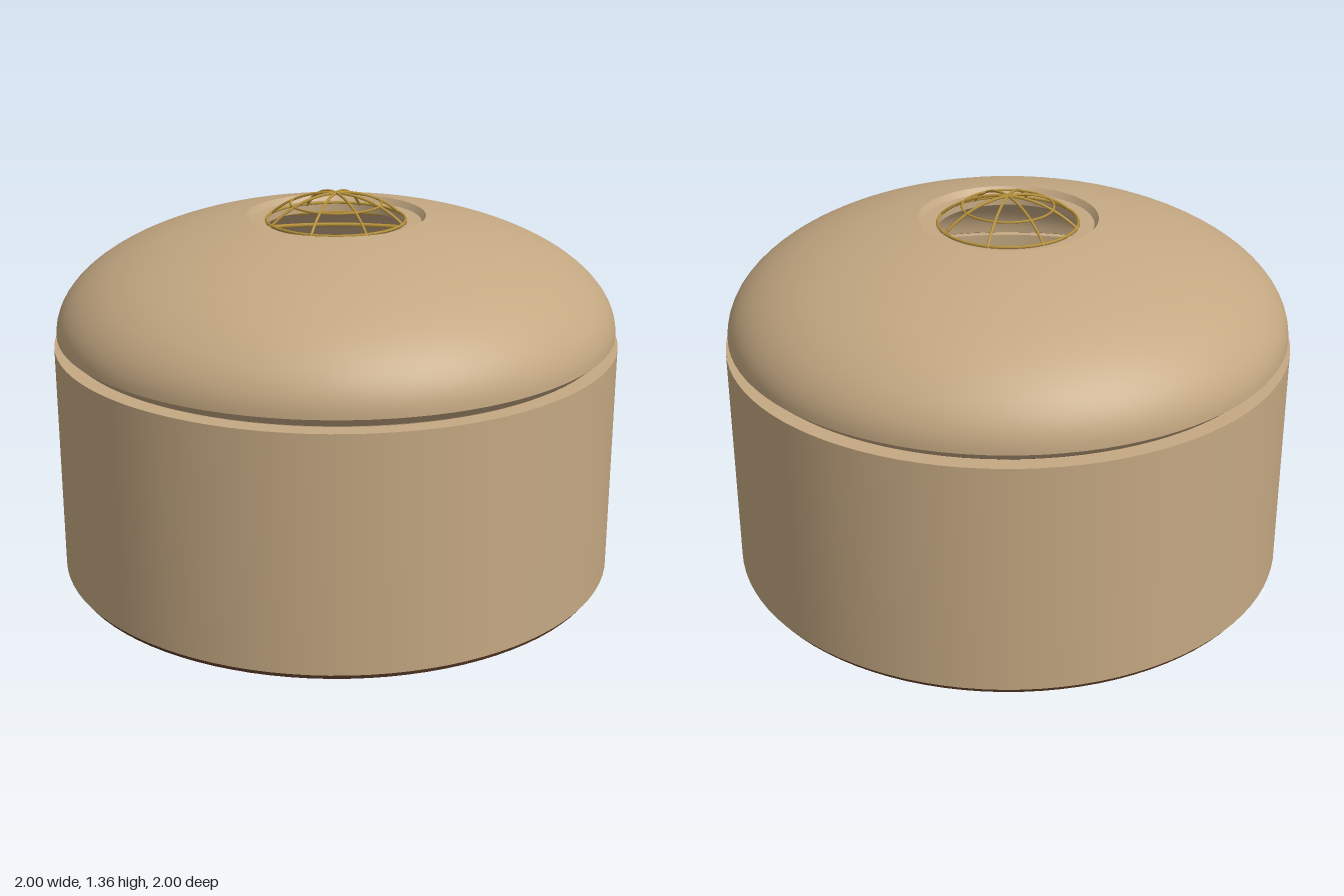
import * as THREE from 'three';
import { toCreasedNormals } from 'three/addons/utils/BufferGeometryUtils.js';

const material = (name, color) => {
  const m = new THREE.MeshStandardMaterial({ color });
  m.name = name;
  return m;
};

export function createModel() {
  const model = new THREE.Group();
  model.name = 'domedRotunda';
  const stone = material('sandstone', 0xc4a882);
  const brown = material('dark brown', 0x4a3020);
  const navy = material('navy floor', 0x1a1a2e);
  const gold = material('gold', 0xb8923a);
  const cream = material('cream', 0xe8dcc0);

  const add = (name, geometry, mat, y = 0, parent = model) => {
    const mesh = new THREE.Mesh(geometry, mat);
    mesh.name = name;
    mesh.position.y = y;
    parent.add(mesh);
    return mesh;
  };
  // Closed ring section: up the outside, down the inside
  const lathe = (points) => toCreasedNormals(
    new THREE.LatheGeometry(points.map(([r, y]) => new THREE.Vector2(r, y)), 96), 0.5);
  const ring = (name, r, tube, y, parent, mat = gold) => {
    const mesh = add(name, new THREE.TorusGeometry(r, tube, 6, 64), mat, y, parent);
    mesh.rotation.x = Math.PI / 2;
    return mesh;
  };

  // Base and drum wall
  add('base', new THREE.CylinderGeometry(0.985, 0.985, 0.024, 96), brown, 0.012);
  add('drumWall', lathe([[1, 0.02], [1, 0.847], [0.94, 0.847], [0.94, 0.02], [1, 0.02]]), stone);

  // Dome shell with a stepped oculus rim
  const dome = [[0.952, 0.854], [0.99, 0.888]];
  const start = Math.acos(0.315 / 0.99);
  for (let i = 1; i <= 24; i++) {
    const a = start * i / 24;
    dome.push([0.99 * Math.cos(a), 0.89 + 0.415 * Math.sin(a)]);
  }
  dome.push([0.3, 1.262], [0.25, 1.262], [0.25, 1.235]);
  const inner = Math.acos(0.25 / 0.94);
  for (let i = 23; i >= 0; i--) {
    const a = inner * i / 24;
    dome.push([0.94 * Math.cos(a), 0.86 + 0.385 * Math.sin(a)]);
  }
  dome.push([0.952, 0.854]);
  add('dome', lathe(dome), stone);

  // Gold cage over the oculus
  const cage = new THREE.Group();
  cage.name = 'oculusCage';
  model.add(cage);
  const R = 0.37, top = 1.36;
  const capY = (r) => top - R + Math.sqrt(R * R - r * r);
  const arc = [];
  for (let i = -8; i <= 8; i++) {
    const r = 0.25 * i / 8;
    arc.push(new THREE.Vector3(r, capY(r), 0));
  }
  const arch = new THREE.TubeGeometry(new THREE.CatmullRomCurve3(arc), 32, 0.005, 6);
  for (let i = 0; i < 4; i++) add('cageRib', arch, gold, 0, cage).rotation.y = i * Math.PI / 4;
  ring('cageHoop', 0.16, 0.004, capY(0.16), cage);
  ring('cageFoot', 0.245, 0.005, capY(0.245), cage);

  // Floor with inlaid rings, studs and spokes
  const floor = new THREE.Group();
  floor.name = 'floor';
  model.add(floor);
  add('floorDisc', new THREE.CylinderGeometry(0.94, 0.94, 0.008, 64), navy, 0.026, floor);
  for (const [r, w] of [[0.16, 0.014], [0.13, 0.008], [0.1, 0.008], [0.5, 0.015], [0.8, 0.015]]) {
    const inlay = add('floorRing', new THREE.RingGeometry(r - w / 2, r + w / 2, 64), gold, 0.033, floor);
    inlay.rotation.x = -Math.PI / 2;
  }
  for (let i = 0; i < 12; i++) {
    const a = i * Math.PI / 6;
    const stud = add('floorStud', new THREE.CylinderGeometry(0.009, 0.009, 0.006, 8), cream, 0.033, floor);
    stud.position.x = 0.2 * Math.sin(a);
    stud.position.z = 0.2 * Math.cos(a);
  }
  for (let i = 0; i < 4; i++) {
    add('floorSpoke', new THREE.BoxGeometry(1.8, 0.004, 0.006), gold, 0.032, floor).rotation.y = i * Math.PI / 4;
  }

  // Central plinth
  add('plinthStep', new THREE.CylinderGeometry(0.085, 0.09, 0.04, 32), brown, 0.05);
  add('plinthBlock', new THREE.BoxGeometry(0.13, 0.12, 0.1), brown, 0.13);
  ring('plinthHoop', 0.075, 0.005, 0.2, model);
  ring('plinthInnerHoop', 0.045, 0.005, 0.2, model);

  // Gold hoops under the dome
  ring('upperDomeHoop', 0.52, 0.008, 1.165, model);
  ring('lowerDomeHoop', 0.8, 0.008, 1.045, model);
  return model;
}
